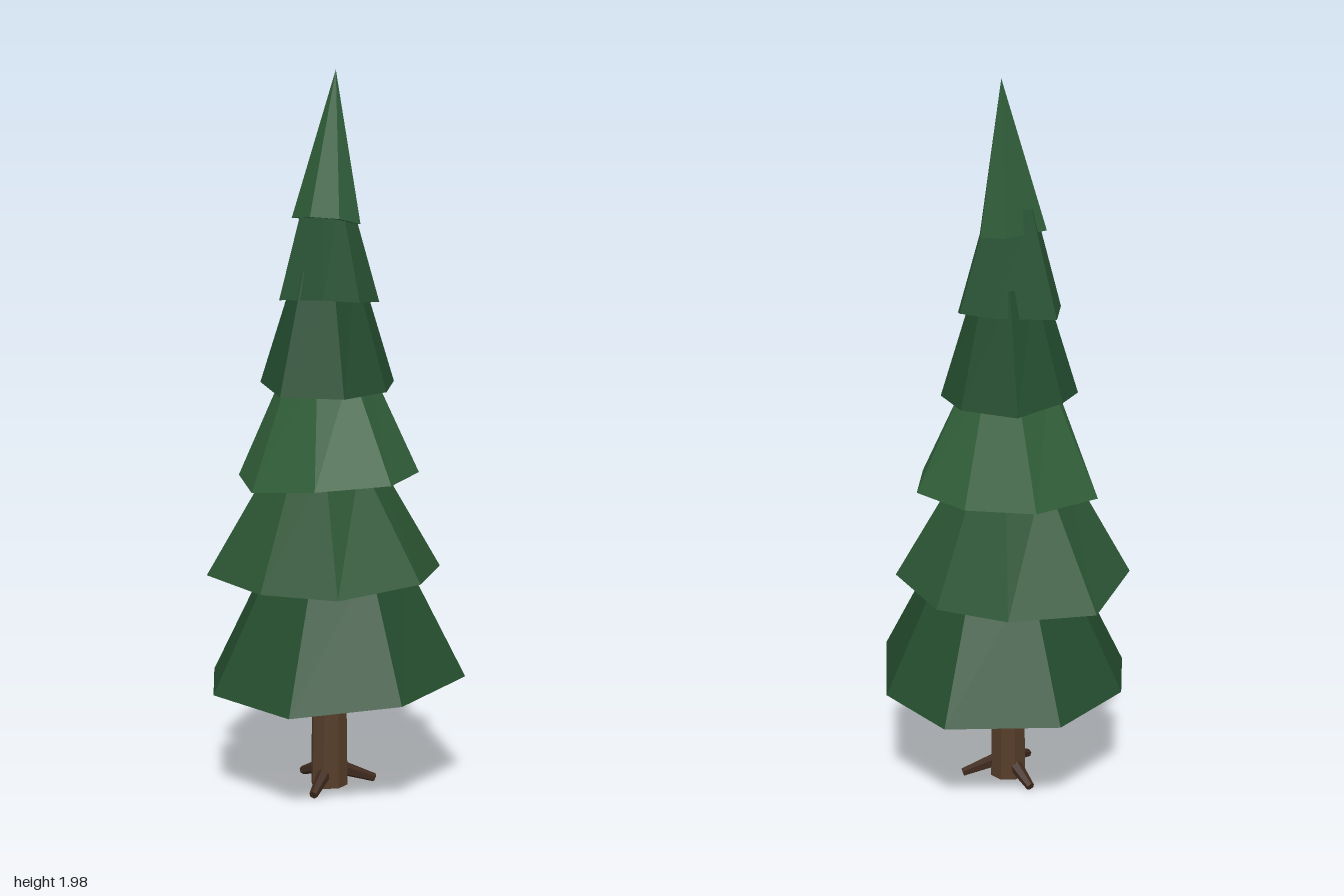
import * as THREE from 'three';

const material = (color, flat = true) => new THREE.MeshStandardMaterial({ color, flatShading: flat });

// Faceted skirt: an uneven bottom rim [x, y, z] (clockwise from above),
// drawn in towards a smaller top ring or an apex, with a closed underside.
function skirt(name, color, rim, top, scaleX, scaleZ) {
  const box = new THREE.Box3();
  const low = rim.map(p => new THREE.Vector3(...p));
  low.forEach(p => box.expandByPoint(p));
  const base = box.getCenter(new THREE.Vector3());
  const tip = new THREE.Vector3(top.x ?? base.x, top.y, top.z ?? base.z);
  const high = low.map(p => new THREE.Vector3(
    tip.x + (p.x - base.x) * scaleX, tip.y, tip.z + (p.z - base.z) * scaleZ));

  const pos = [];
  const tri = (...points) => points.forEach(p => pos.push(p.x, p.y, p.z));
  low.forEach((a, i) => {
    const j = (i + 1) % low.length;
    const b = low[j];
    tri(base, a, b);
    if (scaleX === 0) {
      tri(b, a, tip);
    } else {
      tri(b, a, high[i]);
      tri(b, high[i], high[j]);
      tri(tip, high[j], high[i]);
    }
  });
  const geometry = new THREE.BufferGeometry();
  geometry.setAttribute('position', new THREE.Float32BufferAttribute(pos, 3));
  geometry.computeVertexNormals();
  const mesh = new THREE.Mesh(geometry, material(color));
  mesh.name = name;
  return mesh;
}

// Tapered stick between two points
function stick(name, color, from, to, r0, r1, sides) {
  const a = new THREE.Vector3(...from), b = new THREE.Vector3(...to);
  const mesh = new THREE.Mesh(
    new THREE.CylinderGeometry(r1, r0, a.distanceTo(b), sides), material(color));
  mesh.position.copy(a).lerp(b, 0.5);
  mesh.quaternion.setFromUnitVectors(new THREE.Vector3(0, 1, 0), b.sub(a).normalize());
  mesh.name = name;
  return mesh;
}

export function createModel() {
  const tree = new THREE.Group();
  tree.name = 'pineTree';

  // Trunk and its three roots
  tree.add(stick('trunk', 0x563d2a, [-0.025, 0.03, 0], [-0.025, 0.5, 0], 0.053, 0.047, 8));
  const roots = new THREE.Group();
  roots.name = 'roots';
  for (const [x, z] of [[-0.038, 0.12], [0.09, -0.062], [-0.122, -0.068]]) {
    roots.add(stick('root', 0x3f2a1e, [-0.025, 0.085, 0], [x, 0.035, z], 0.024, 0.012, 6));
  }
  tree.add(roots);

  // Foliage tiers, bottom to top
  const foliage = new THREE.Group();
  foliage.name = 'foliage';
  foliage.add(
    skirt('foliageTier1', 0x244d2e, [
      [0, 0.335, -0.38], [0.22, 0.35, -0.28], [0.36, 0.37, 0], [0.24, 0.35, 0.25],
      [-0.03, 0.335, 0.38], [-0.285, 0.335, 0.235], [-0.36, 0.34, 0.01], [-0.28, 0.335, -0.25],
    ], { y: 0.7 }, 0.51, 0.51),
    skirt('foliageTier2', 0x2c5634, [
      [-0.13, 0.615, -0.255], [0.08, 0.615, -0.25], [0.26, 0.645, -0.13], [0.265, 0.655, 0.145],
      [0.08, 0.635, 0.3], [-0.135, 0.635, 0.285], [-0.33, 0.645, 0.15], [-0.33, 0.615, -0.12],
    ], { y: 0.97 }, 0.4, 0.56),
    skirt('foliageTier3', 0x31603a, [
      [0, 0.905, -0.24], [0.165, 0.915, -0.185], [0.22, 0.925, -0.03], [0.19, 0.92, 0.17],
      [0, 0.905, 0.235], [-0.19, 0.885, 0.18], [-0.285, 0.9, 0], [-0.185, 0.905, -0.195],
    ], { y: 1.22 }, 0.43, 0.6),
    skirt('foliageTier4', 0x244d2f, [
      [-0.125, 1.155, -0.18], [0.04, 1.155, -0.17], [0.135, 1.165, -0.09], [0.145, 1.15, 0.04],
      [0.065, 1.145, 0.18], [-0.11, 1.145, 0.18], [-0.2, 1.17, 0.065], [-0.2, 1.17, -0.05],
    ], { y: 1.47 }, 0.47, 0.6),
    skirt('foliageTier5', 0x295334, [
      [-0.05, 1.405, -0.15], [0.06, 1.405, -0.13], [0.105, 1.385, -0.04], [0.08, 1.39, 0.075],
      [0, 1.4, 0.15], [-0.135, 1.395, 0.1], [-0.17, 1.385, -0.02],
    ], { y: 1.67 }, 0.44, 0.49),
    skirt('foliageTop', 0x305e3a, [
      [-0.055, 1.605, -0.1], [0.02, 1.6, -0.085], [0.07, 1.595, 0.03],
      [0.03, 1.61, 0.098], [-0.05, 1.615, 0.098], [-0.12, 1.61, 0.03],
    ], { x: -0.01, y: 2, z: -0.016 }, 0, 0),
  );
  tree.add(foliage);
  return tree;
}
